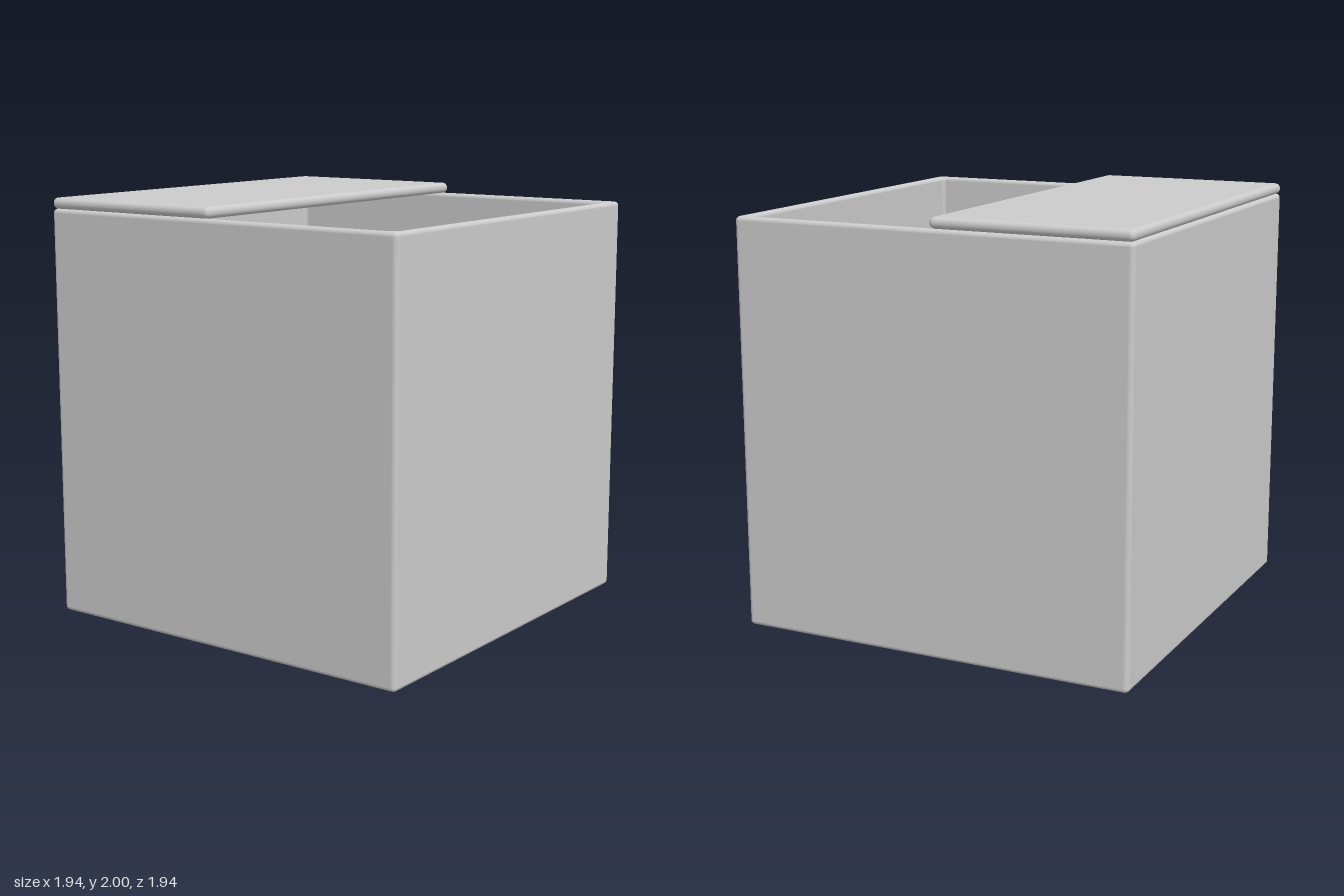
import * as THREE from 'three';
import { mergeVertices } from 'three/addons/utils/BufferGeometryUtils.js';
import { RoundedBoxGeometry } from 'three/addons/geometries/RoundedBoxGeometry.js';

const HALF = 0.972;     // half width of the box
const WALL = 0.047;     // wall thickness
const HEIGHT = 1.948;   // wall height
const LID = 0.052;      // lid thickness
const BEVEL = 0.02;

// Trace a square with rounded corners, centred on the origin
function roundedSquare(path, half, r) {
  const c = half - r;
  path.moveTo(half, -c);
  [[c, c], [-c, c], [-c, -c], [c, -c]].forEach(([x, y], i) => {
    path.absarc(x, y, r, i * Math.PI / 2, (i + 1) * Math.PI / 2, false);
  });
  return path;
}

export function createModel() {
  const model = new THREE.Group();
  model.name = 'openBox';
  const material = new THREE.MeshStandardMaterial({ color: 0xcccccc });

  // Four joined walls, open at top and bottom, with softened rims
  const outline = roundedSquare(new THREE.Shape(), HALF, 0.024);
  outline.holes.push(roundedSquare(new THREE.Path(), HALF - WALL, 0.018));
  let wallGeometry = new THREE.ExtrudeGeometry(outline, {
    depth: HEIGHT - 2 * BEVEL,
    bevelThickness: BEVEL,
    bevelSize: BEVEL,
    bevelOffset: -BEVEL,
    bevelSegments: 6,
    curveSegments: 6,
  });
  // Welded, area-weighted normals keep the panels flat and the edges smooth
  wallGeometry.deleteAttribute('normal');
  wallGeometry.deleteAttribute('uv');
  wallGeometry = mergeVertices(wallGeometry, 1e-5);
  wallGeometry.computeVertexNormals();
  wallGeometry.rotateX(-Math.PI / 2).translate(0, BEVEL, 0);
  const walls = new THREE.Mesh(wallGeometry, material);
  walls.name = 'walls';
  model.add(walls);

  // Rounded lid panel covering the right half of the opening
  const lidWidth = HALF - 0.022;
  const lid = new THREE.Mesh(
    new RoundedBoxGeometry(lidWidth, LID, 2 * HALF, 6, 0.025), material);
  lid.name = 'lid';
  lid.position.set(-HALF + lidWidth / 2, HEIGHT + LID / 2, 0);
  model.add(lid);

  return model;
}
